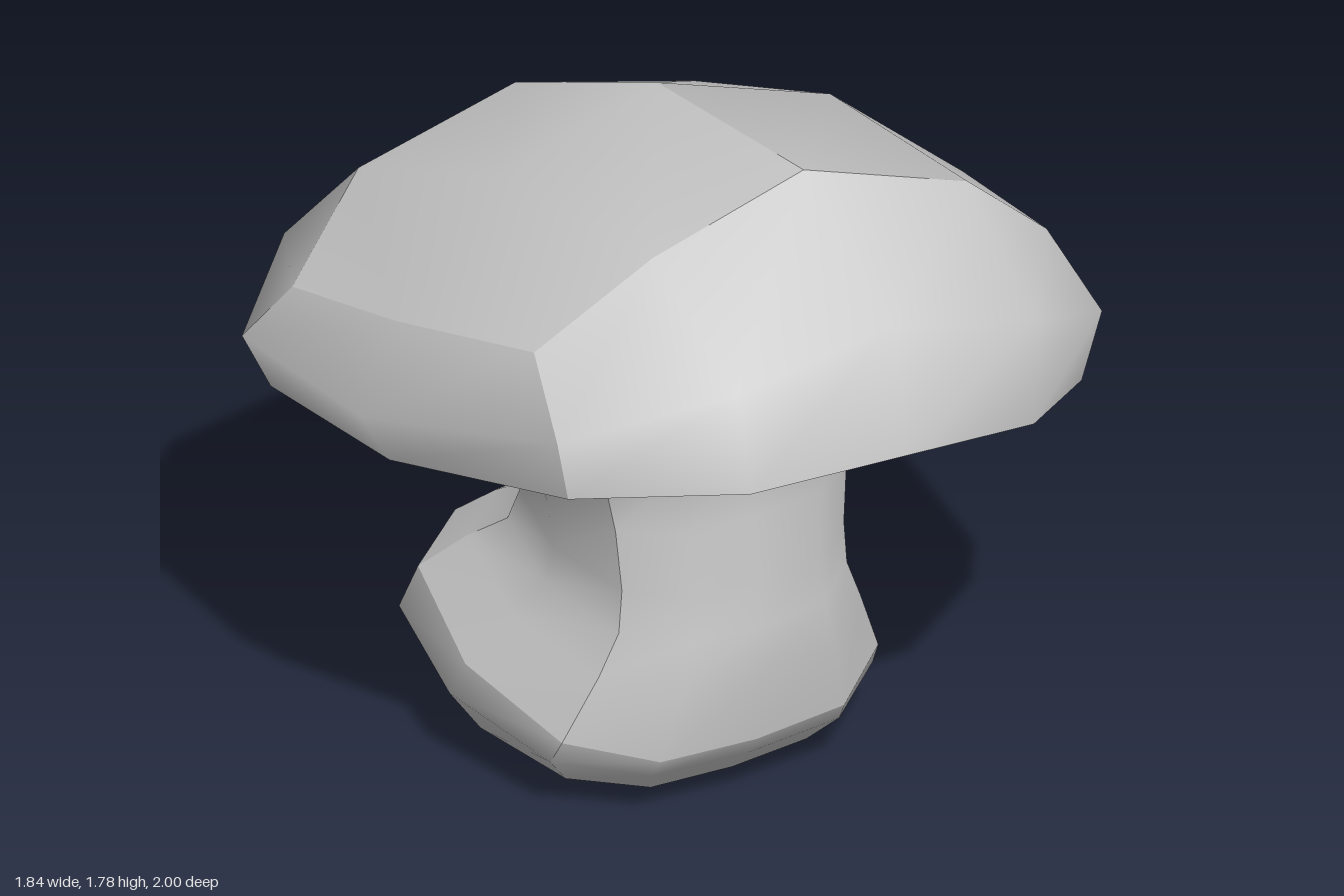
import * as THREE from 'three';
import { mergeVertices } from 'three/addons/utils/BufferGeometryUtils.js';

const material = new THREE.MeshStandardMaterial({ color: 0xcccccc });

// Smoothly shaded panel through rows of points (rows go up, points run to the right
// as seen from outside). Separate panels keep a sharp edge between them.
function panel(name, rows) {
  const positions = [];
  for (let r = 0; r < rows.length - 1; r++) {
    for (let i = 0; i < rows[r].length - 1; i++) {
      const a = rows[r][i], b = rows[r][i + 1], c = rows[r + 1][i + 1], d = rows[r + 1][i];
      if (a !== b) positions.push(...a, ...b, ...c);
      if (c !== d) positions.push(...a, ...c, ...d);
    }
  }
  const geometry = new THREE.BufferGeometry();
  geometry.setAttribute('position', new THREE.Float32BufferAttribute(positions, 3));
  const smooth = mergeVertices(geometry);
  smooth.computeVertexNormals();
  const mesh = new THREE.Mesh(smooth, material);
  mesh.name = name;
  return mesh;
}

// Four panels around a stack of 12-point rings, split at the corners 2, 4, 8 and 10.
const SIDES = { Front: [10, 14], Right: [2, 4], Back: [4, 8], Left: [8, 10] };
const fourSides = (name, rings) => Object.entries(SIDES).map(([side, [from, to]]) =>
  panel(name + side, rings.map((ring) => {
    const row = [];
    for (let i = from; i <= to; i++) row.push(ring[i % 12]);
    return row;
  })));

// Closes a stack of rings from below, starting at one point.
const underside = (name, point, rings) =>
  panel(name, [Array(13).fill(point), ...rings.map((ring) => [...ring, ring[0]])]);

// Tilted, lopsided cap: rings start at the front and run past +x to the back.
function createCap() {
  const rim = [
    [0, 1.22, 1], [0.4, 1.15, 0.93], [0.73, 1.02, 0.62], [0.84, 0.89, 0.05],
    [0.72, 0.8, -0.55], [0.4, 0.8, -0.86], [-0.03, 0.84, -0.94], [-0.48, 0.86, -0.87],
    [-0.83, 0.91, -0.55], [-0.87, 1.01, 0.05], [-0.71, 1.12, 0.6], [-0.4, 1.2, 0.93],
  ];
  const side = [
    [0, 1.54, 0.93], [0.44, 1.4, 0.88], [0.8, 1.18, 0.6], [0.92, 0.99, 0],
    [0.8, 0.91, -0.59], [0.43, 0.99, -0.92], [-0.05, 1.08, -1], [-0.56, 1.07, -0.92],
    [-0.88, 1.04, -0.6], [-0.92, 1.12, 0], [-0.74, 1.28, 0.6], [-0.41, 1.45, 0.88],
  ];
  const crown = [
    [0, 1.78, 0.53], [0.47, 1.6, 0.52], [0.75, 1.34, 0.43], [0.8, 1.26, -0.03],
    [0.75, 1.12, -0.5], [0.45, 1.3, -0.68], [-0.02, 1.41, -0.74], [-0.5, 1.35, -0.68],
    [-0.8, 1.2, -0.5], [-0.8, 1.33, -0.04], [-0.7, 1.44, 0.43], [-0.42, 1.66, 0.52],
  ];
  const peak = [0, 1.7, -0.13], right = [0.47, 1.54, -0.1], left = [-0.47, 1.6, -0.1];

  // Inner lip of the underside, sagging towards the front
  const centre = [-0.03, 1, 0.03];
  const lip = rim.map((p) => {
    const q = p.map((v, i) => centre[i] + (v - centre[i]) * 0.75);
    q[1] -= 0.1 * Math.max(0, q[2]);
    return q;
  });

  const cap = new THREE.Group();
  cap.name = 'cap';
  const at = (...ids) => ids.map((i) => crown[i]);
  cap.add(
    underside('capUnderside', centre, [lip, rim]),
    ...fourSides('cap', [rim, side, crown]),
    // The top meets in a ridge along the middle
    panel('capTopRight', [at(0, 1, 2), [peak, right, crown[3]], at(6, 5, 4)]),
    panel('capTopLeft', [at(10, 11, 0), [crown[9], left, peak], at(8, 7, 6)]),
  );
  return cap;
}

// Bent stalk with a bulbous foot: each ring is tilted between its front and back points.
function createStem() {
  const half = [[0, 1], [0.5, 0.96], [0.86, 0.66], [1, 0], [0.86, -0.68], [0.5, -0.95], [0, -1]];
  const section = [...half, ...half.slice(1, -1).reverse().map(([x, z]) => [-x, z])];
  // front z, front y, back z, back y, half width
  const rings = [
    [0.08, 0, -0.26, 0.02, 0.24],
    [0.32, 0.05, -0.55, 0.11, 0.44],
    [0.4, 0.13, -0.62, 0.28, 0.53],
    [0.43, 0.18, -0.54, 0.44, 0.52],
    [0.46, 0.38, -0.43, 0.53, 0.43],
    [0.45, 0.5, -0.3, 0.61, 0.375],
    [0.44, 0.62, -0.25, 0.7, 0.365],
    [0.43, 0.8, -0.25, 0.78, 0.38],
    [0.42, 0.97, -0.28, 0.84, 0.41],
    [0.47, 1.09, -0.36, 0.94, 0.51],
  ].map(([fz, fy, bz, by, w]) => section.map(([x, z]) => {
    const t = (z + 1) / 2;
    return [-0.07 + x * w, by + (fy - by) * t, bz + (fz - bz) * t];
  }));

  const stem = new THREE.Group();
  stem.name = 'stem';
  stem.add(
    underside('footUnderside', [-0.07, 0.005, -0.09], rings.slice(0, 2)),
    ...fourSides('foot', rings.slice(1, 4)),
    ...fourSides('stalk', rings.slice(3)),
  );
  return stem;
}

export function createModel() {
  const group = new THREE.Group();
  group.name = 'mushroom';
  group.add(createCap(), createStem());
  return group;
}
